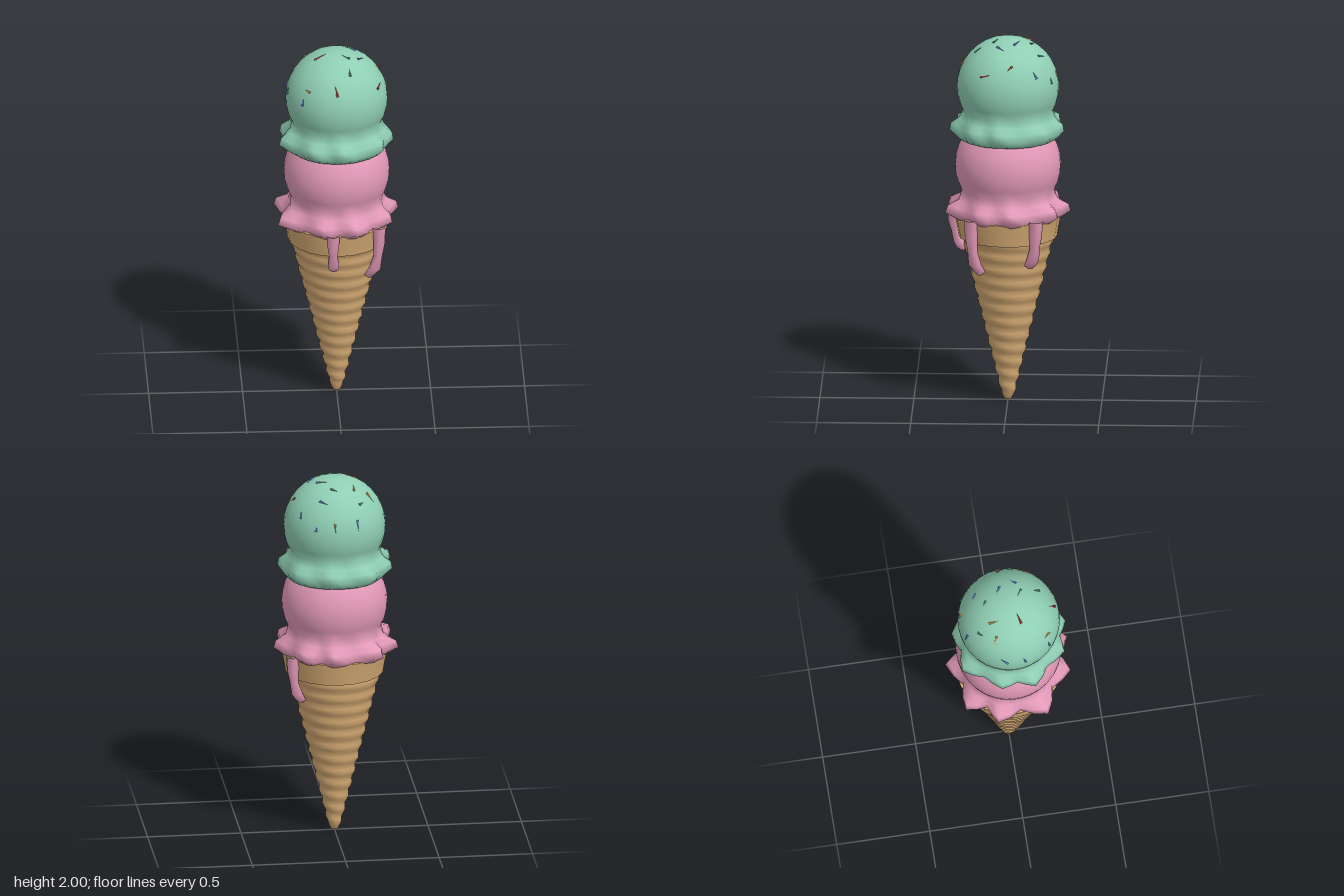
import * as THREE from 'three';
import { mergeVertices } from 'three/addons/utils/BufferGeometryUtils.js';

const mat = (name, color) => Object.assign(new THREE.MeshStandardMaterial({ color }), { name });

// Weld the lathe seam and rebuild smooth normals
function smooth(geo) {
  geo.deleteAttribute('uv');
  geo.deleteAttribute('normal');
  const g = mergeVertices(geo, 1e-4);
  g.computeVertexNormals();
  return g;
}

// Lathe whose vertices are moved by rule(column, row) -> [angle, radius, height]
function ruledLathe(points, columns, rule) {
  const geo = new THREE.LatheGeometry(points.map(p => new THREE.Vector2(p[0], p[1])), columns);
  const pos = geo.attributes.position;
  for (let i = 0; i <= columns; i++) {
    for (let j = 0; j < points.length; j++) {
      const [a, r, y] = rule(i, j);
      pos.setXYZ(i * points.length + j, r * Math.sin(a), y, r * Math.cos(a));
    }
  }
  return smooth(geo);
}

// Ball with a flared skirt whose points lie at the given [x, z] tips
function scoopGeometry(skirtY, centreY, radius, tips) {
  const pts = [[0, 0.03, 0], [0.2, 0.03, 0], [0.25, 0, 0.35], [0.27, 0.03, 1],
    [0.26, 0.07, 0.85], [0.24, 0.105, 0.3]].map(([r, y, w]) => [r, y + skirtY, w]);
  for (let k = 0; k <= 12; k++) {
    const a = THREE.MathUtils.lerp(-0.5, Math.PI / 2, k / 12);
    pts.push([k === 12 ? 0 : radius * Math.cos(a), centreY + radius * Math.sin(a), 0]);
  }
  const polar = tips.map(([x, z]) => [Math.atan2(x, z), Math.hypot(x, z)]).sort((a, b) => a[0] - b[0]);
  const n = polar.length, sub = 4;
  return ruledLathe(pts, n * sub, (i, j) => {
    const t = Math.floor(i / sub), f = (i % sub) / sub;
    const [a0, r0] = polar[t % n], [a1, r1] = polar[(t + 1) % n];
    const start = a0 + (t >= n ? 2 * Math.PI : 0);
    const span = (a1 - a0 + 2 * Math.PI) % (2 * Math.PI);
    const wave = Math.abs(1 - 2 * f);
    const edge = THREE.MathUtils.lerp(0.27, f < 0.5 ? r0 : r1, wave);
    const [r, y, w] = pts[j];
    return [start + f * span, r + (edge - r) * w, y + 0.014 * wave * w];
  });
}

// Runny drip: a low-sided tube through [x, y, z, radius] stations
function dripGeometry(stations) {
  const sides = 6, verts = [], index = [];
  for (const [x, y, z, r] of stations) {
    for (let s = 0; s < sides; s++) {
      const a = (s / sides) * 2 * Math.PI;
      verts.push(x + r * Math.sin(a), y, z + r * Math.cos(a));
    }
  }
  for (let k = 0; k < stations.length - 1; k++) {
    for (let s = 0; s < sides; s++) {
      const a = k * sides + s, b = k * sides + (s + 1) % sides;
      index.push(a, a + sides, b, b, a + sides, b + sides);
    }
  }
  const geo = new THREE.BufferGeometry();
  geo.setAttribute('position', new THREE.Float32BufferAttribute(verts, 3));
  geo.setIndex(index);
  geo.computeVertexNormals();
  return geo;
}

export function createModel() {
  const group = new THREE.Group();
  const wafer = mat('wafer', 0xd2a872), pink = mat('strawberryPink', 0xe39ab8), mint = mat('mintGreen', 0x8fceb4);
  const sprinkleMats = {
    blue: mat('sprinkleBlue', 0x6a96e0), red: mat('sprinkleRed', 0xc4443e),
    orange: mat('sprinkleOrange', 0xe8a45a), green: mat('sprinkleGreen', 0x5a9c82),
  };
  const add = (name, geo, material, parent = group) => {
    const mesh = new THREE.Mesh(geo, material);
    mesh.name = name;
    parent.add(mesh);
    return mesh;
  };

  // Wafer cone with a shallow spiral ridge
  const conePts = [[0, 0], [0.018, 0.006], [0.032, 0.035]];
  for (let k = 1; k <= 44; k++) {
    const t = k / 44;
    conePts.push([0.032 + 0.213 * t, 0.035 + 0.875 * t]);
  }
  add('cone', ruledLathe(conePts, 24, (i, j) => {
    const a = (i / 24) * 2 * Math.PI, [r, y] = conePts[j];
    const ridge = j < 3 ? 0 : 0.005 * Math.sin(a + y * 2 * Math.PI / 0.075);
    return [a, r + ridge, y];
  }), wafer);

  // Collar, with hard edges between its faces
  const collar = [[[0.22, 0.908], [0.262, 0.908]], [[0.262, 0.908], [0.27, 0.96], [0.284, 1.03]],
    [[0.284, 1.03], [0.2, 1.04]]];
  for (const run of collar) {
    add('coneCollar', smooth(new THREE.LatheGeometry(run.map(p => new THREE.Vector2(...p)), 20)), wafer);
  }

  // Scoops
  add('lowerScoop', scoopGeometry(1.01, 1.3, 0.282, [[0.04, -0.335], [-0.23, -0.265], [-0.33, -0.105],
    [-0.32, 0.165], [-0.09, 0.32], [0.1, 0.33], [0.29, 0.155], [0.33, -0.03], [0.2, -0.27]]), pink);
  add('upperScoop', scoopGeometry(1.45, 1.728, 0.272, [[0.05, -0.3], [-0.17, -0.275], [-0.3, -0.08],
    [-0.31, 0.1], [-0.14, 0.28], [0.03, 0.31], [0.24, 0.19], [0.3, 0.05], [0.23, -0.21]]), mint);

  // Drips: angle from the front, lowest height, radius from the axis at the lower end
  for (const [angle, low, rEnd] of [[-0.11, 0.815, 0.245], [0.86, 0.73, 0.222], [2.14, 0.775, 0.232]]) {
    const sx = Math.sin(angle), sz = Math.cos(angle);
    const rows = [[0, 0.285, 0.04], [0.3, 0.287, 0.034], [0.55, 0.278, 0.026], [0.8, 0.258, 0.034],
      [0.94, rEnd, 0.03], [1, rEnd, 0.012], [1, rEnd, 0]];
    add('drip', dripGeometry(rows.map(([t, r, w]) =>
      [r * sx, THREE.MathUtils.lerp(1.045, low, t), r * sz, w])), pink);
  }

  // Sprinkles lie on the upper scoop: narrow end [x, z], wide end [x, z]
  const sprinkles = new THREE.Group();
  sprinkles.name = 'sprinkles';
  group.add(sprinkles);
  const layout = {
    blue: [[0.06, -0.195, 0.1, -0.165], [0.045, -0.065, 0.1, -0.035], [0.145, 0.015, 0.11, 0.055],
      [-0.1, -0.25, -0.094, -0.235], [0.195, -0.14, 0.2, -0.16], [-0.245, -0.085, -0.265, -0.045],
      [-0.258, 0.04, -0.264, 0.05], [-0.185, 0.185, -0.19, 0.19], [0.12, -0.23, 0.125, -0.235]],
    red: [[-0.06, 0.03, -0.12, 0.05], [0.23, 0.085, 0.21, 0.14], [0.235, 0, 0.215, -0.03],
      [-0.02, 0.215, -0.005, 0.248]],
    orange: [[-0.09, -0.07, -0.09, -0.12], [-0.195, -0.11, -0.16, -0.09], [-0.18, 0.165, -0.15, 0.195],
      [0.025, -0.268, 0.028, -0.255]],
    green: [[0.06, 0.14, 0.065, 0.175], [0.025, 0.05, 0.065, 0.075], [0, -0.14, 0.035, -0.12],
      [-0.14, -0.155, -0.125, -0.17]],
  };
  const onScoop = (x, z) => new THREE.Vector3(x, 1.728 + Math.sqrt(Math.max(0.273 ** 2 - x * x - z * z, 0)), z);
  for (const [colour, list] of Object.entries(layout)) {
    for (const [x1, z1, x2, z2] of list) {
      const tip = onScoop(x1, z1), dir = tip.clone().sub(onScoop(x2, z2));
      const length = Math.max(dir.length(), 0.04);
      const mesh = add('sprinkle', new THREE.ConeGeometry(0.007, length, 4), sprinkleMats[colour], sprinkles);
      mesh.quaternion.setFromUnitVectors(new THREE.Vector3(0, 1, 0), dir.normalize());
      mesh.position.copy(tip).addScaledVector(dir, -length / 2);
    }
  }
  return group;
}
